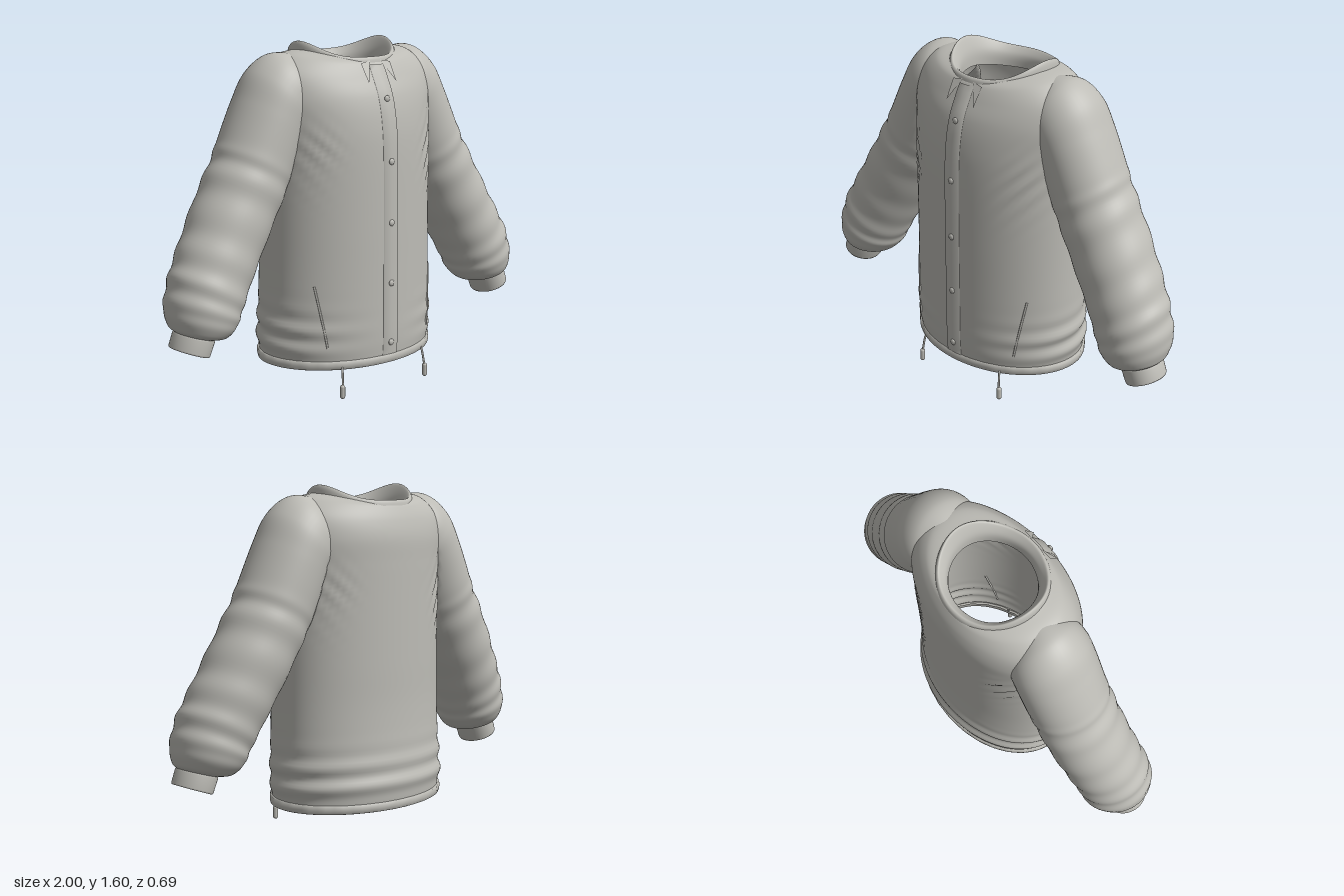
import * as THREE from 'three';

const cloth = new THREE.MeshStandardMaterial({ color: 0xbdbcb6, side: THREE.DoubleSide });
cloth.name = 'warm grey cloth';

// Samples a table of rows smoothly (Catmull-Rom on every column)
function smoothRows(rows, steps) {
  const out = [];
  const at = (i) => rows[Math.min(rows.length - 1, Math.max(0, i))];
  for (let k = 0; k <= (rows.length - 1) * steps; k++) {
    const i = Math.min(rows.length - 2, Math.floor(k / steps));
    const t = k / steps - i;
    out.push(at(i).map((b, c) => {
      const a = at(i - 1)[c], d = at(i + 1)[c], e = at(i + 2)[c];
      return b + 0.5 * t * (d - a + t * (2 * a - 5 * b + 4 * d - e + t * (3 * (b - d) + e - a)));
    }));
  }
  return out;
}

// Skins a list of equal-length cross-sections
function loft(rings, closed = true) {
  const m = rings[0].length, pos = [], index = [];
  rings.forEach((r) => r.forEach((p) => pos.push(...p)));
  for (let i = 0; i < rings.length - 1; i++) {
    for (let j = 0; j < (closed ? m : m - 1); j++) {
      const a = i * m + j, b = i * m + (j + 1) % m;
      index.push(a, a + m, b, b, a + m, b + m);
    }
  }
  const g = new THREE.BufferGeometry();
  g.setAttribute('position', new THREE.Float32BufferAttribute(pos, 3));
  g.setIndex(index);
  g.computeVertexNormals();
  return g;
}

const ring = (n, fn) => Array.from({ length: n }, (_, j) => fn(j / n * Math.PI * 2));
const bump = (v, c, w) => Math.exp(-(((v - c) / w) ** 2));

// Torso rows: height, side lift, half width, front depth, back depth
const torsoRows = smoothRows([
  [0.165, 0, 0.442, 0.333, 0.318],
  [0.25, 0, 0.452, 0.338, 0.33],
  [0.40, 0, 0.447, 0.338, 0.315],
  [0.60, 0, 0.442, 0.337, 0.305],
  [0.80, 0, 0.440, 0.336, 0.305],
  [1.10, 0, 0.440, 0.332, 0.305],
  [1.25, 0, 0.445, 0.32, 0.305],
  [1.36, 0.01, 0.45, 0.295, 0.303],
  [1.44, 0.03, 0.425, 0.258, 0.285],
  [1.495, 0.045, 0.345, 0.228, 0.26],
  [1.515, 0.045, 0.25, 0.21, 0.245],
], 10);

function frontZ(x, y) {
  let i = 0;
  while (i < torsoRows.length - 2 && torsoRows[i + 1][0] < y) i++;
  const a = torsoRows[i], b = torsoRows[i + 1];
  const t = THREE.MathUtils.clamp((y - a[0]) / (b[0] - a[0]), 0, 1);
  const w = a[2] + (b[2] - a[2]) * t;
  return (a[3] + (b[3] - a[3]) * t) * Math.sqrt(Math.max(0, 1 - (x / w) ** 2));
}

function torso() {
  return loft(torsoRows.map(([y, lift, a, f, b]) => ring(96, (q) => {
    const c = Math.cos(q), s = Math.sin(q);
    // gathers above the hem, and slanted folds beside the armholes
    const away = 1 - Math.max(0, s) ** 2;
    let k = 1 + 0.02 * away * bump(y, 0.29, 0.1) * Math.sin(y * 62 + 1.5 * s);
    const across = y - 0.55 * Math.abs(c);
    const armhole = bump(Math.abs(c), 0.7, 0.17) * bump(y, 1.08, 0.13);
    k += 0.016 * armhole * Math.sin(across * 65);
    return [c * a * k, y + lift * c * c, s * (s > 0 ? f : b) * k];
  })));
}

// Sleeve rows: outer x, y, inner x, y, half depth, centre z
const sleeveRows = smoothRows([
  [0.28, 1.545, 0.22, 1.30, 0.10, -0.01],
  [0.40, 1.55, 0.22, 1.25, 0.165, -0.015],
  [0.50, 1.48, 0.24, 1.22, 0.188, -0.018],
  [0.57, 1.36, 0.27, 1.18, 0.192, -0.018],
  [0.645, 1.21, 0.335, 1.03, 0.19, -0.015],
  [0.70, 1.10, 0.39, 0.92, 0.188, -0.01],
  [0.80, 0.93, 0.485, 0.75, 0.188, 0],
  [0.90, 0.75, 0.59, 0.57, 0.183, 0.02],
  [0.965, 0.62, 0.655, 0.45, 0.18, 0.038],
  [0.998, 0.50, 0.69, 0.385, 0.173, 0.045],
  [0.99, 0.42, 0.74, 0.345, 0.14, 0.053],
  [0.97, 0.393, 0.805, 0.343, 0.098, 0.06],
], 10);

const sleeveRing = ([ox, oy, ix, iy, hz, zc], side, fold) => ring(48, (q) => {
  const k = 1 + fold(q), c = Math.cos(q) * k;
  let x = (ox + ix) / 2 + c * (ox - ix) / 2;
  const y = (oy + iy) / 2 + c * (oy - iy) / 2;
  const z = zc - side * Math.sin(q) * hz * k;
  // the hidden part rests against the torso wall
  const wall = 0.43 - 0.9 * Math.max(0, y - 1.25);
  x = Math.max(x, wall * Math.sqrt(Math.max(0, 1 - (z / 0.31) ** 2)));
  return [side * x, y, z];
});

const sleeve = (side) => loft(sleeveRows.map((row, i) => {
  const t = i / 10;
  const window = bump(t, 5.2, 0.75) + bump(t, 8, 1.0) + 0.6 * bump(t, 6.6, 0.5);
  return sleeveRing(row, side, (q) =>
    0.03 * window * Math.sin(t * 7.4 + 1.1 * Math.sin(q)) * (0.7 + 0.3 * Math.cos(q)));
}));

// Cuff: outer band, rolled edge and inner wall
const cuff = (side) => loft([
  [0.968, 0.396, 0.803, 0.345, 0.097, 0.06],
  [0.977, 0.388, 0.802, 0.335, 0.102, 0.06],
  [0.998, 0.335, 0.827, 0.273, 0.099, 0.06],
  [0.997, 0.328, 0.832, 0.267, 0.096, 0.06],
  [0.988, 0.328, 0.842, 0.272, 0.085, 0.06],
  [0.965, 0.385, 0.818, 0.335, 0.085, 0.06],
].map((r) => sleeveRing(r, side, () => 0)));

// Hem band, turned in at the bottom, slightly gathered
const hem = () => loft([
  [0.172, 0.44], [0.17, 0.452], [0.15, 0.453], [0.133, 0.45], [0.13, 0.443], [0.134, 0.432], [0.175, 0.43],
].reverse().map(([y, a]) => ring(120, (q) => {
  const r = a + 0.002 * Math.sin(q * 30) * bump(y, 0.165, 0.02), s = Math.sin(q);
  return [Math.cos(q) * r, y, s * (r - (s > 0 ? 0.113 : 0.125))];
})));

// Standing collar: radius, height, rise at the sides
const collar = () => loft(smoothRows([
  [0.255, 1.505, 0.045], [0.25, 1.522, 0.06], [0.24, 1.53, 0.068], [0.228, 1.522, 0.06],
  [0.21, 1.50, 0.04], [0.202, 1.475, 0.03], [0.2, 1.44, 0.02],
], 4).map(([r, y, rise]) => ring(72, (q) => {
  const c = Math.cos(q);
  return [c * r, y + rise * c ** 4, -0.018 + Math.sin(q) * (r - 0.015)];
})));

// Raised button placket with turned-down edges
function placket() {
  const rows = [];
  for (let i = 0; i <= 50; i++) {
    const y = 0.172 + i * 1.325 / 50;
    rows.push([[0.041, -0.01], [0.04, 0.006], [0, 0.006], [-0.04, 0.006], [-0.041, -0.01]]
      .map(([x, o]) => [x, y, frontZ(x, y) + o]));
  }
  return loft(rows, false);
}

const tube = (pts, r) => new THREE.TubeGeometry(
  new THREE.CatmullRomCurve3(pts.map((p) => new THREE.Vector3(...p))), 16, r, 8);

export function createModel() {
  const group = new THREE.Group();
  const add = (name, geometry, x = 0, y = 0, z = 0) => {
    const mesh = new THREE.Mesh(geometry, cloth);
    mesh.name = name;
    mesh.position.set(x, y, z);
    group.add(mesh);
    return mesh;
  };

  add('torso', torso());
  add('hemBand', hem());
  add('collar', collar());
  add('placket', placket());

  // Snap buttons
  for (let i = 0; i < 5; i++) {
    const y = 0.23 + i * 0.28;
    const button = add('button', new THREE.SphereGeometry(0.015, 16, 10), 0, y, frontZ(0, y) + 0.007);
    button.scale.z = 0.5;
  }

  for (const side of [1, -1]) {
    const name = side > 0 ? 'left' : 'right';
    add(name + 'Sleeve', sleeve(side));
    add(name + 'Cuff', cuff(side));

    // Slanted pocket welt
    const welt = [0, 0.25, 0.5, 0.75, 1].map((t) => {
      const x = 0.3 + 0.045 * t, y = 0.235 + 0.29 * t;
      return [side * x, y, frontZ(x, y)];
    });
    add(name + 'PocketWelt', tube(welt, 0.005));

    // Pointed collar tip lying on the chest
    const tip = [[0.03, 1.515], [0.085, 1.505], [0.08, 1.42]].map(([x, y]) => [side * x, y, frontZ(x, y) + 0.012]);
    const flap = new THREE.BufferGeometry();
    const order = side > 0 ? [tip[0], tip[2], tip[1]] : tip;
    flap.setAttribute('position', new THREE.Float32BufferAttribute(order.flat(), 3));
    flap.computeVertexNormals();
    add(name + 'CollarTip', flap);

    // Drawcord with toggle
    add(name + 'Cord', tube([[side * 0.238, 0.16, 0.275], [side * 0.243, 0.13, 0.288], [side * 0.25, 0.06, 0.3]], 0.005));
    add(name + 'Toggle', new THREE.CapsuleGeometry(0.012, 0.042, 6, 12), side * 0.252, 0.033, 0.3);
  }
  return group;
}
